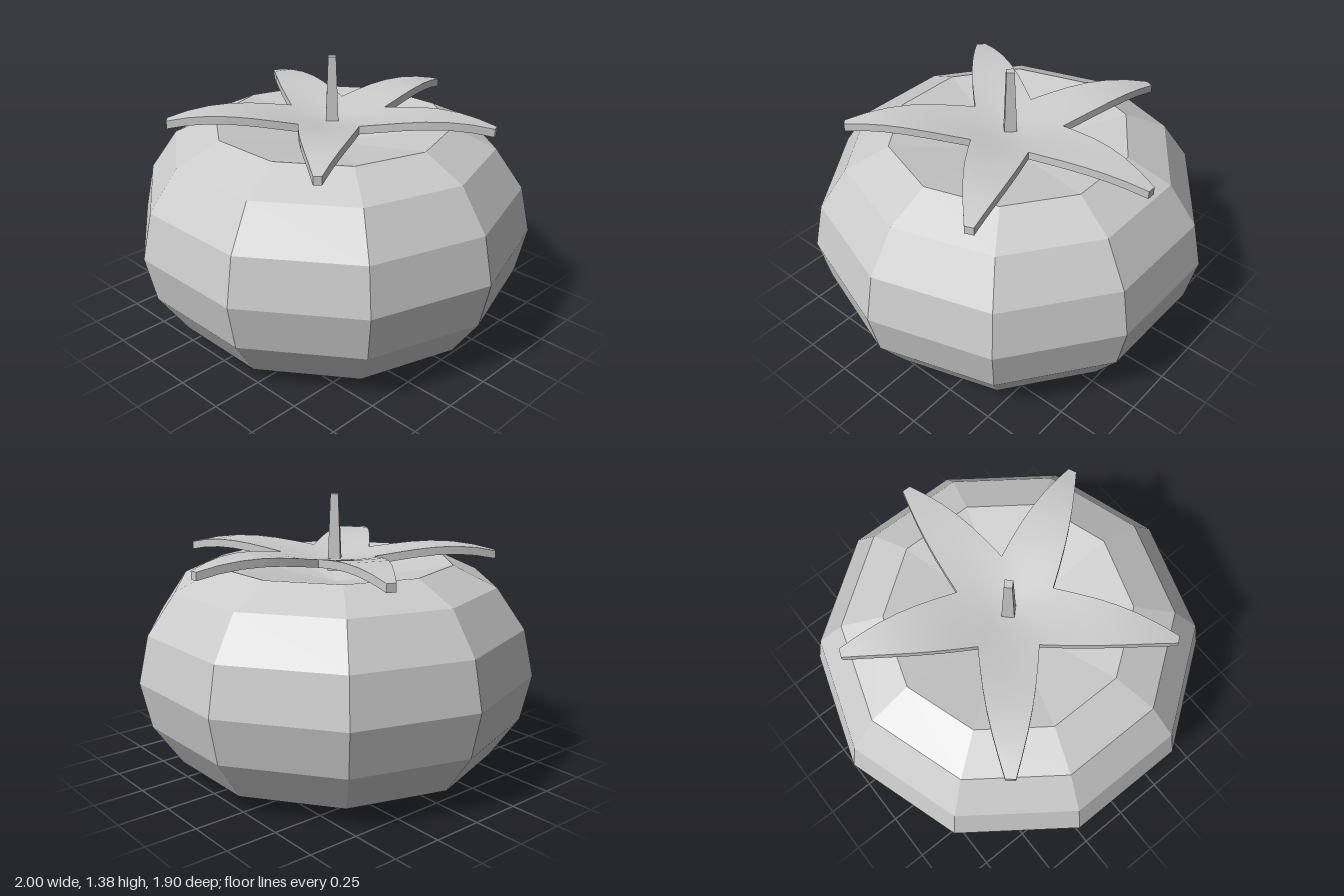
import * as THREE from 'three';
import { toCreasedNormals } from 'three/addons/utils/BufferGeometryUtils.js';

const THICKNESS = 0.04;
const ROWS = 8, ROOT = 2, COLS = 4;

// Notches between sepals, and the two corners of each blunt tip (x, z), counter-clockwise from above
const notches = [[0, 0.23], [0.23, 0.05], [0.14, -0.23], [-0.14, -0.215], [-0.23, 0.06]];
const tips = [
  [[0.508, 0.626], [0.535, 0.6]],
  [[0.717, -0.36], [0.7, -0.4]],
  [[0.022, -0.813], [-0.022, -0.813]],
  [[-0.738, -0.33], [-0.754, -0.289]],
  [[-0.513, 0.62], [-0.476, 0.652]],
];

// Sepals rise from the centre, arch over the rim and droop at the tips
const calyxHeight = (r) => 1.055 + 0.075 * Math.sin((Math.PI / 2) * Math.pow(r / 0.55, 1.3));

function createCalyx() {
  const positions = [];
  const quad = (a, b, c, d) => {
    for (const p of [a, b, c, a, c, d]) positions.push(p.x, p.y, p.z);
  };
  const lower = (p) => new THREE.Vector3(p.x, p.y - THICKNESS, p.z);
  const wall = (p, q) => quad(lower(p), lower(q), q, p);
  const vec = ([x, z]) => new THREE.Vector3(x, 0, z);

  tips.forEach((tip, s) => {
    const a = vec(notches[s]), b = vec(notches[(s + 1) % notches.length]);
    const tipA = vec(tip[0]), tipB = vec(tip[1]);
    const across = b.clone().sub(a).normalize();

    // Rows run from the centre through the root to the tip, columns run across
    const grid = [];
    for (let i = 0; i <= ROWS; i++) {
      const t = Math.max(0, (i - ROOT) / (ROWS - ROOT));
      const bulge = 0.02 * Math.sin(Math.PI * t);
      const left = a.clone().lerp(tipA, t).addScaledVector(across, -bulge);
      const right = b.clone().lerp(tipB, t).addScaledVector(across, bulge);
      const scale = Math.min(1, i / ROOT);
      const row = [];
      for (let j = 0; j <= COLS; j++) {
        const p = left.clone().lerp(right, j / COLS).multiplyScalar(scale);
        p.y = calyxHeight(Math.hypot(p.x, p.z));
        row.push(p);
      }
      grid.push(row);
    }

    for (let i = 0; i < ROWS; i++) {
      for (let j = 0; j < COLS; j++) {
        const p = grid[i][j], q = grid[i + 1][j], r = grid[i + 1][j + 1], u = grid[i][j + 1];
        quad(p, q, r, u);
        quad(lower(u), lower(r), lower(q), lower(p));
      }
      if (i >= ROOT) {
        wall(grid[i][0], grid[i + 1][0]);
        wall(grid[i + 1][COLS], grid[i][COLS]);
      }
    }
    for (let j = 0; j < COLS; j++) wall(grid[ROWS][j], grid[ROWS][j + 1]);
  });

  const geometry = new THREE.BufferGeometry();
  geometry.setAttribute('position', new THREE.Float32BufferAttribute(positions, 3));
  return toCreasedNormals(geometry, Math.PI / 5);
}

export function createModel() {
  const model = new THREE.Group();
  const add = (name, geometry, flatShading) => {
    const material = new THREE.MeshStandardMaterial({ color: 0xcccccc, flatShading });
    const mesh = new THREE.Mesh(geometry, material);
    mesh.name = name;
    model.add(mesh);
    return mesh;
  };

  // Ten-sided fruit with a hollow at the top and a slight one underneath
  const profile = [
    [0, 0.02], [0.595, 0], [0.81, 0.085], [0.95, 0.29], [1, 0.52],
    [0.95, 0.75], [0.81, 0.95], [0.595, 1.05], [0, 0.94],
  ].map(([r, y]) => new THREE.Vector2(r, y));
  add('fruit', new THREE.LatheGeometry(profile, 10, Math.PI / 10), true);

  // Five-pointed leafy crown
  add('calyx', createCalyx(), false);

  // Four-sided tapering stem
  const stem = add('stem', new THREE.CylinderGeometry(0.027, 0.047, 0.38, 4), true);
  stem.position.y = 1.19;

  return model;
}
